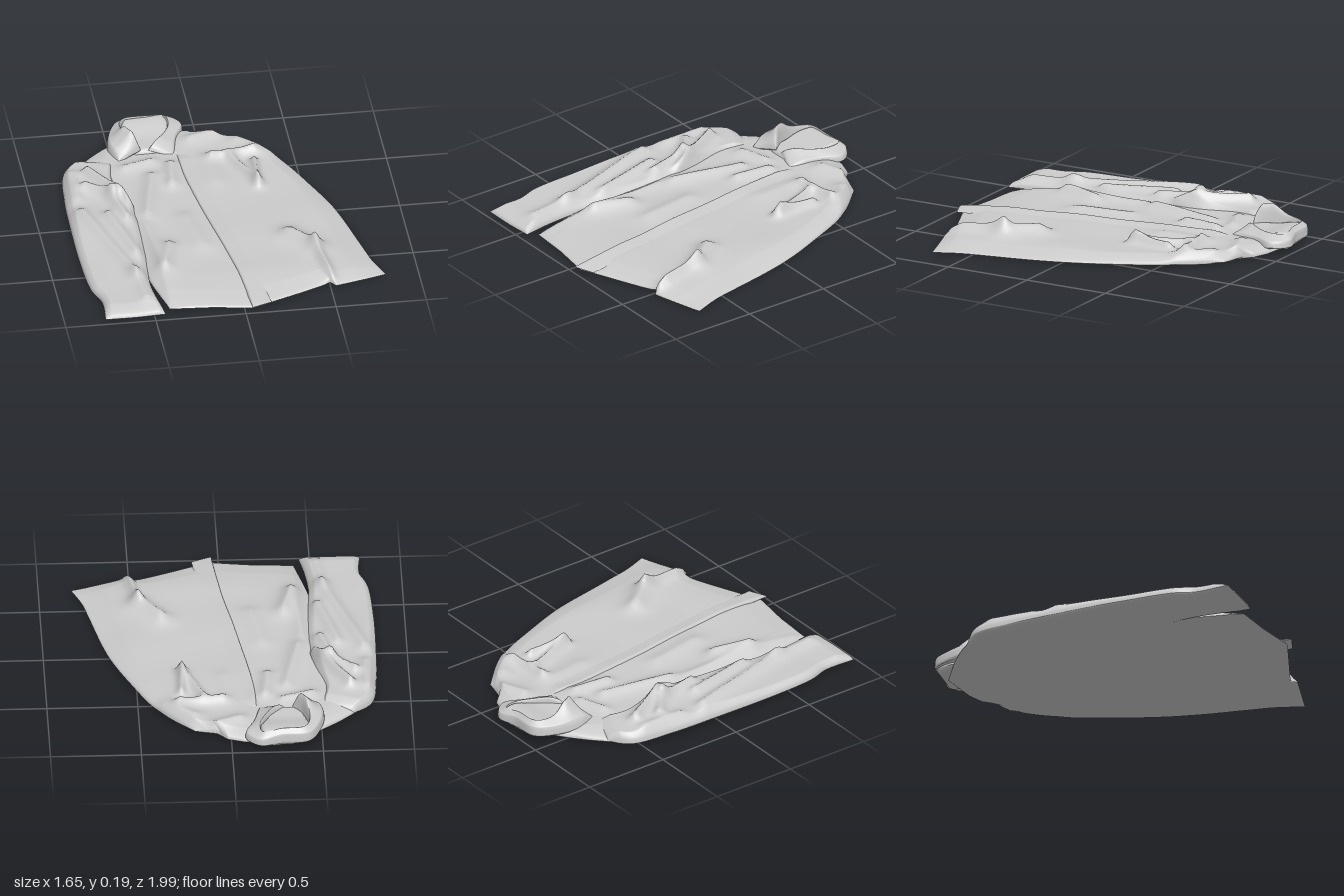
import * as THREE from 'three';

const material = new THREE.MeshStandardMaterial({ color: 0xcccccc, side: THREE.DoubleSide });

// Folds in the cloth: [x1, z1, x2, z2, height, width]
const bodyFolds = [
  [0.04, -0.55, 0.27, -0.58, 0.045, 0.035], [0.14, -0.52, 0.25, -0.24, 0.04, 0.03],
  [0.26, -0.47, 0.25, -0.24, 0.045, 0.025], [0.2, -0.7, 0.36, -0.58, 0.03, 0.06],
  [0.34, 0.31, 0.46, 0.46, 0.06, 0.06], [0.46, 0.46, 0.51, 0.76, 0.045, 0.03],
  [-0.32, -0.4, -0.4, 0, 0.035, 0.045], [-0.2, 0.05, -0.15, 0.35, 0.025, 0.06],
  [-0.33, 0.35, -0.38, 0.55, 0.045, 0.05], [-0.2, -0.5, -0.22, -0.3, 0.04, 0.04],
  [-0.45, -0.5, -0.3, -0.55, 0.03, 0.04], [-0.05, -0.75, 0.08, -0.8, 0.03, 0.05],
  [-0.42, 0.1, -0.4, 0.85, 0.02, 0.04], [0, -0.55, 0.02, -0.3, 0.015, 0.06],
];
const sleeveFolds = [
  [-0.67, -0.44, -0.47, -0.1, 0.06, 0.035], [-0.7, -0.3, -0.56, -0.18, 0.05, 0.035],
  [-0.58, -0.18, -0.52, 0.05, 0.04, 0.03], [-0.76, -0.05, -0.55, 0.62, 0.035, 0.04],
  [-0.62, 0, -0.52, 0.4, 0.035, 0.035], [-0.76, -0.45, -0.76, -0.2, 0.025, 0.04],
  [-0.56, 0.6, -0.53, 0.85, 0.025, 0.04],
];

function foldHeight(folds, x, z) {
  let sum = 0;
  for (const [x1, z1, x2, z2, h, w] of folds) {
    const dx = x2 - x1, dz = z2 - z1;
    const t = THREE.MathUtils.clamp(((x - x1) * dx + (z - z1) * dz) / (dx * dx + dz * dz), 0, 1);
    const d = Math.hypot(x - x1 - dx * t, z - z1 - dz * t);
    sum += h * Math.exp(-Math.pow(d / w, 1.5));
  }
  return sum;
}
const ripple = (x, z) => 0.004 * Math.sin(9 * x + 5 * z) * Math.sin(7 * z - 4 * x);

const bodyHeight = (x, z) => 0.055
  - 0.028 * THREE.MathUtils.smoothstep(x, 0.45, 0.8)
  - 0.018 * THREE.MathUtils.smoothstep(z, 0.6, 0.9)
  + foldHeight(bodyFolds, x, z) + ripple(x, z);

// A padded sheet: splines run down through the rows of [x, z] points, and the
// top and underside meet around the outline.
function sheet(name, rows, nu, nv, top, under) {
  const columns = rows[0].map((_, i) =>
    new THREE.CatmullRomCurve3(rows.map(r => new THREE.Vector3(r[i][0], 0, r[i][1]))));
  const positions = [], index = [];
  const last = columns.length - 1;
  const ease = t => 0.35 * t + 0.65 * (1 - Math.cos(Math.PI * t)) / 2;
  for (let side = 0; side < 2; side++) {
    const start = positions.length / 3;
    for (let j = 0; j <= nv; j++) {
      const v = ease(j / nv);
      const points = columns.map(c => c.getPoint(v));
      for (let i = 0; i <= nu; i++) {
        const u = ease(i / nu);
        const k = Math.min(Math.floor(u * last), last - 1);
        const p = points[k].clone().lerp(points[k + 1], u * last - k);
        const rim = Math.pow(Math.min(1, 10 * Math.min(u, 1 - u)) * Math.min(1, 14 * Math.min(v, 1 - v)), 0.45);
        const hi = top(p.x, p.z, u, v), lo = under(p.x, p.z, u, v);
        const seam = lo + (hi - lo) * 0.25;
        p.y = THREE.MathUtils.lerp(seam, side ? lo : hi, rim);
        positions.push(p.x, p.y, p.z);
        if (i < nu && j < nv) {
          const a = start + j * (nu + 1) + i, b = a + 1, c = a + nu + 1, d = c + 1;
          if (side) index.push(a, b, c, b, d, c);
          else index.push(a, c, b, b, c, d);
        }
      }
    }
  }
  const geometry = new THREE.BufferGeometry();
  geometry.setAttribute('position', new THREE.Float32BufferAttribute(positions, 3));
  geometry.setIndex(index);
  geometry.computeVertexNormals();
  const mesh = new THREE.Mesh(geometry, material);
  mesh.name = name;
  return mesh;
}

export function createModel() {
  const jacket = new THREE.Group();
  jacket.name = 'jacket';
  const ground = () => 0;

  // Torso with the left sleeve lying along its side
  jacket.add(sheet('torso', [
    [[-0.5, -0.8], [-0.3, -0.93], [-0.07, -0.91], [0.02, -0.88], [0.06, -0.83], [0.2, -0.79]],
    [[-0.64, -0.68], [-0.35, -0.75], [-0.08, -0.76], [0.06, -0.74], [0.17, -0.71], [0.35, -0.63]],
    [[-0.74, -0.55], [-0.4, -0.55], [-0.13, -0.55], [0.07, -0.53], [0.23, -0.52], [0.43, -0.51]],
    [[-0.65, -0.3], [-0.4, -0.3], [-0.13, -0.3], [0.15, -0.3], [0.33, -0.3], [0.525, -0.3]],
    [[-0.55, 0], [-0.36, 0], [-0.1, 0], [0.2, 0], [0.4, 0], [0.64, 0]],
    [[-0.5, 0.4], [-0.3, 0.4], [-0.03, 0.4], [0.3, 0.4], [0.47, 0.42], [0.73, 0.4]],
    [[-0.48, 0.6], [-0.25, 0.65], [0.02, 0.68], [0.4, 0.6], [0.5, 0.62], [0.765, 0.56]],
    [[-0.41, 0.91], [-0.18, 0.925], [0.05, 0.96], [0.5, 0.77], [0.53, 0.8], [0.82, 0.71]],
  ], 110, 120, bodyHeight, ground));

  // Right sleeve, resting beside and over the torso
  jacket.add(sheet('rightSleeve', [
    [[-0.68, -0.64], [-0.59, -0.63], [-0.5, -0.6]],
    [[-0.785, -0.54], [-0.65, -0.48], [-0.53, -0.42]],
    [[-0.82, -0.3], [-0.65, -0.25], [-0.48, -0.2]],
    [[-0.83, 0], [-0.65, 0], [-0.45, 0]],
    [[-0.83, 0.35], [-0.66, 0.35], [-0.46, 0.35]],
    [[-0.81, 0.66], [-0.65, 0.65], [-0.48, 0.65]],
    [[-0.77, 0.79], [-0.62, 0.8], [-0.465, 0.82]],
    [[-0.775, 0.975], [-0.6, 0.975], [-0.44, 0.965]],
  ], 50, 110, (x, z) => 0.075 - 0.015 * THREE.MathUtils.smoothstep(z, 0.1, 0.6)
    + foldHeight(sleeveFolds, x, z) + ripple(x, z), ground));

  // Front placket, its free edge lying over the other front panel
  jacket.add(sheet('placket', [
    [[-0.15, -0.62], [-0.04, -0.62]],
    [[-0.14, -0.38], [-0.03, -0.38]],
    [[-0.07, 0.14], [0.04, 0.14]],
    [[0, 0.59], [0.11, 0.58]],
    [[0.04, 0.99], [0.15, 0.945]],
  ], 16, 70, (x, z, u) => bodyHeight(x, z) + 0.014 * (1 - u) - 0.004 * u,
  (x, z) => bodyHeight(x, z) - 0.012));

  // Inside of the neck
  jacket.add(sheet('neckLining', [
    [[-0.41, -0.955], [-0.28, -0.97], [-0.16, -0.985]],
    [[-0.44, -0.84], [-0.3, -0.85], [-0.14, -0.88]],
    [[-0.42, -0.74], [-0.3, -0.74], [-0.19, -0.76]],
    [[-0.38, -0.64], [-0.31, -0.64], [-0.24, -0.64]],
  ], 24, 24, (x, z) => 0.08 + 0.03 * THREE.MathUtils.smoothstep(-z, 0.75, 0.93), () => 0.015));

  // Folded collar, sweeping from one point round the back to the other
  jacket.add(sheet('collar', [
    [[-0.34, -0.655], [-0.41, -0.62], [-0.475, -0.585]],
    [[-0.395, -0.73], [-0.45, -0.71], [-0.515, -0.7]],
    [[-0.425, -0.85], [-0.46, -0.84], [-0.5, -0.82]],
    [[-0.395, -0.925], [-0.41, -0.94], [-0.425, -0.955]],
    [[-0.27, -0.94], [-0.27, -0.955], [-0.27, -0.97]],
    [[-0.175, -0.95], [-0.165, -0.975], [-0.155, -0.995]],
    [[-0.165, -0.87], [-0.12, -0.89], [-0.075, -0.915]],
    [[-0.21, -0.76], [-0.165, -0.77], [-0.125, -0.78]],
    [[-0.3, -0.655], [-0.23, -0.635], [-0.16, -0.61]],
  ], 20, 90, (x, z, u) => 0.125 - 0.035 * u
    + foldHeight([[-0.38, -0.68, -0.42, -0.74, 0.065, 0.06]], x, z)
    - 0.015 * THREE.MathUtils.smoothstep(x, -0.3, -0.15),
  (x, z, u) => 0.05 - 0.015 * u));

  return jacket;
}
